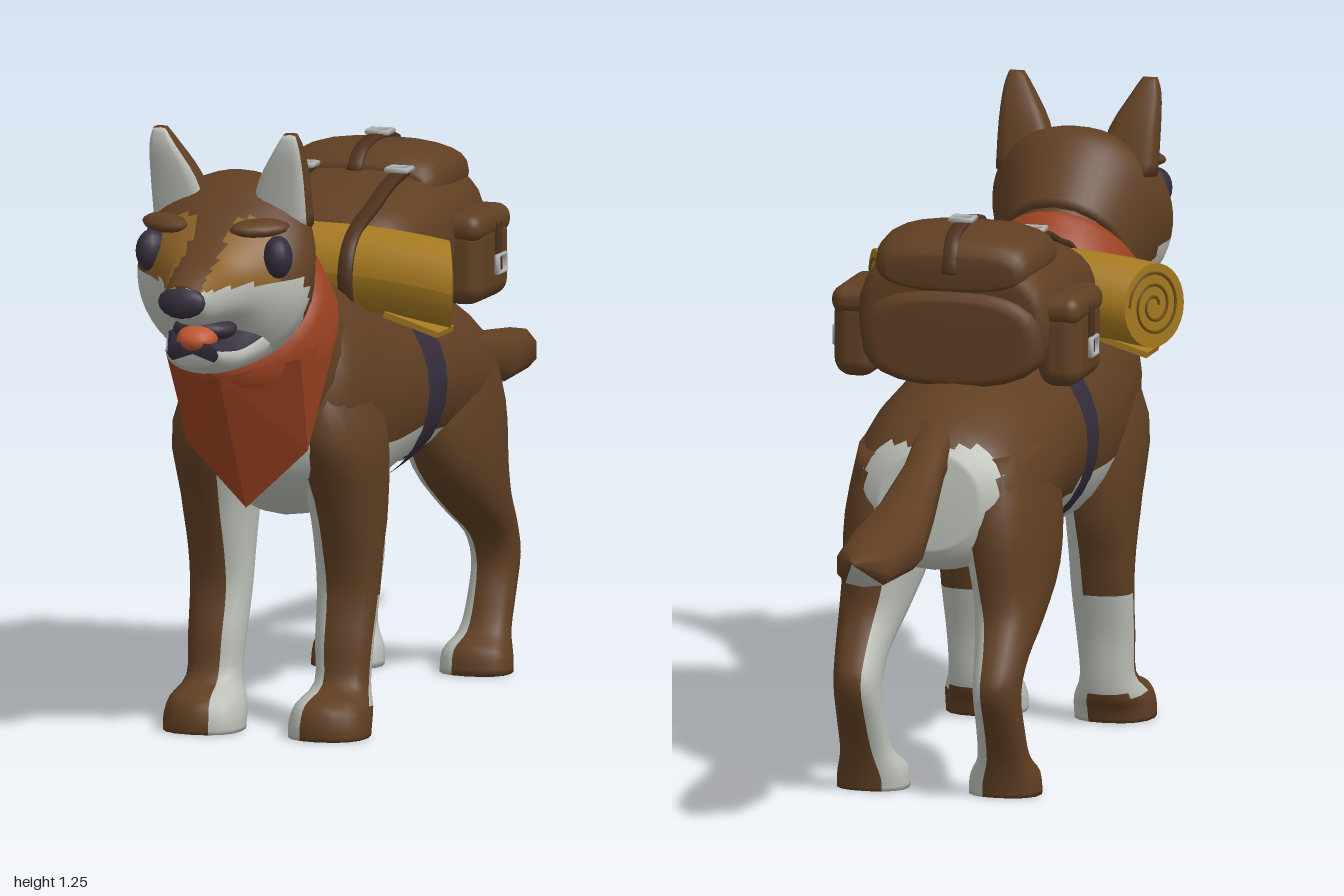
import * as THREE from 'three';
import { RoundedBoxGeometry } from 'three/addons/geometries/RoundedBoxGeometry.js';

const mat = (name, color) => Object.assign(new THREE.MeshStandardMaterial({ color }), { name });

export function createModel() {
  const brown = mat('brown fur', 0x603f23), white = mat('white fur', 0xbcbfb7), tan = mat('tan fur', 0x8c6127);
  const yellow = mat('bedroll yellow', 0xa57920), shade = mat('bedroll seam', 0x6c4d17);
  const red = mat('bandana red', 0x9b4221), purple = mat('dark purple', 0x352d3c);
  const pink = mat('tongue', 0xbd5630), strapBrown = mat('strap brown', 0x4c311c), metal = mat('buckle metal', 0xb4b6b6);
  red.side = THREE.DoubleSide;
  const model = new THREE.Group(), dog = new THREE.Group(), gear = new THREE.Group();
  dog.name = 'dog';
  gear.name = 'gear';
  dog.position.x = -0.01;
  model.add(dog, gear);
  let target = dog;

  const add = (name, geo, m, pos = [0, 0, 0], rot = [0, 0, 0], scale = [1, 1, 1]) => {
    const mesh = new THREE.Mesh(geo, m);
    mesh.name = name;
    mesh.position.set(...pos);
    mesh.rotation.set(...rot);
    mesh.scale.set(...scale);
    target.add(mesh);
    return mesh;
  };

  const spline = (a, b, c, d, t) => 0.5 * (2 * b + (c - a) * t + (2 * a - 5 * b + 4 * c - d) * t * t + (3 * b - a - 3 * c + d) * t * t * t);

  // Skin over oval rings [zA, yA, zB, yB, xCentre, halfWidth]; paint picks a material per face
  // from its |x|, y, z and the cosine (toward A) and sine (toward outside) of its angle
  function loft(name, keys, mats, { n = 20, sub = 3, p = 1, side = 1, caps = true, paint = () => 0 } = {}) {
    const rings = [];
    for (let i = 0; i < keys.length - 1; i++)
      for (let s = 0; s < sub; s++) {
        const k = [i - 1, i, i + 1, i + 2].map(q => keys[Math.min(Math.max(q, 0), keys.length - 1)]);
        rings.push(keys[i].map((_, q) => spline(k[0][q], k[1][q], k[2][q], k[3][q], s / sub)));
      }
    rings.push(keys[keys.length - 1]);
    const pow = v => Math.sign(v) * Math.abs(v) ** p;
    const pos = [], buckets = mats.map(() => []);
    for (const [zA, yA, zB, yB, xc, hw] of rings)
      for (let j = 0; j < n; j++) {
        const a = j / n * Math.PI * 2, c = pow(Math.cos(a)) / 2;
        pos.push(side * (xc + pow(Math.sin(a)) * hw), (yA + yB) / 2 + c * (yA - yB), (zA + zB) / 2 + c * (zA - zB));
      }
    const face = (a, ...ids) => {
      const m = [0, 1, 2].map(q => ids.reduce((s, id) => s + pos[id * 3 + q], 0) / ids.length);
      const out = buckets[paint(Math.abs(m[0]), m[1], m[2], Math.cos(a), Math.sin(a))];
      for (let t = 1; t < ids.length - 1; t++)
        out.push(ids[0], ...(side > 0 ? [ids[t], ids[t + 1]] : [ids[t + 1], ids[t]]));
    };
    const angle = j => (j + 0.5) / n * Math.PI * 2;
    for (let i = 0; i < rings.length - 1; i++)
      for (let j = 0; j < n; j++) {
        const k = (j + 1) % n;
        face(angle(j), i * n + j, (i + 1) * n + j, (i + 1) * n + k, i * n + k);
      }
    if (caps) for (const i of [0, rings.length - 1]) {
      const [zA, yA, zB, yB, xc] = rings[i], mid = pos.length / 3;
      pos.push(side * xc, (yA + yB) / 2, (zA + zB) / 2);
      for (let j = 0; j < n; j++) {
        const k = (j + 1) % n;
        face(angle(j), mid, i * n + (i ? k : j), i * n + (i ? j : k));
      }
    }
    const geo = new THREE.BufferGeometry();
    geo.setAttribute('position', new THREE.Float32BufferAttribute(pos, 3));
    geo.setIndex(buckets.flat());
    let start = 0;
    buckets.forEach((b, i) => { geo.addGroup(start, b.length, i); start += b.length; });
    geo.computeVertexNormals();
    return add(name, geo, mats);
  }

  // Flat strap following [z, y] points from back to front
  const strap = (name, pts, x, w, m) => loft(name, pts.map(([z, y], i) => {
    const a = pts[Math.max(i - 1, 0)], b = pts[Math.min(i + 1, pts.length - 1)];
    const l = Math.hypot(b[0] - a[0], b[1] - a[1]), nz = -(b[1] - a[1]) / l * 0.007, ny = (b[0] - a[0]) / l * 0.007;
    return [z + nz, y + ny, z - nz, y - ny, x, w / 2];
  }), [m], { n: 8, p: 0.25 });

  const buckle = (pos, rot) => {
    const g = new THREE.TorusGeometry(0.027, 0.006, 6, 4).rotateZ(Math.PI / 4);
    add('buckle', g, metal, pos, rot, [1.1, 0.9, 1]);
  };

  // Torso, neck and tail
  const fur = [brown, white];
  loft('torso', [
    [-0.42, 0.69, -0.43, 0.5, 0, 0.1], [-0.36, 0.745, -0.38, 0.45, 0, 0.17], [-0.22, 0.8, -0.2, 0.44, 0, 0.2],
    [0, 0.83, -0.03, 0.455, 0, 0.2], [0.15, 0.85, 0.15, 0.43, 0, 0.195], [0.3, 0.89, 0.28, 0.415, 0, 0.2],
    [0.4, 0.92, 0.42, 0.43, 0, 0.195], [0.47, 0.9, 0.54, 0.5, 0, 0.18], [0.52, 0.85, 0.59, 0.58, 0, 0.12],
  ], fur, { n: 32, sub: 5, paint: (x, y, z) =>
    (y < 0.55 && z > -0.08 && z < 0.3) || (z > 0.25 && y < 0.63 && x < 0.14) || (z < -0.385 && x < 0.14 && y < 0.7) || y < 0.47 ? 1 : 0 });
  loft('neck', [
    [0.31, 0.88, 0.57, 0.56, 0, 0.18], [0.42, 0.938, 0.62, 0.64, 0, 0.156], [0.48, 0.99, 0.68, 0.72, 0, 0.142],
    [0.545, 1.075, 0.73, 0.79, 0, 0.136],
  ], fur, { paint: (x, y) => y < 0.62 && x < 0.13 ? 1 : 0 });
  loft('tail', [
    [-0.99, 0.58, -0.988, 0.57, 0, 0.004], [-0.9, 0.597, -0.9, 0.512, 0, 0.058], [-0.74, 0.614, -0.73, 0.51, 0, 0.076],
    [-0.6, 0.642, -0.57, 0.565, 0, 0.056], [-0.47, 0.695, -0.44, 0.63, 0, 0.04], [-0.36, 0.75, -0.34, 0.68, 0, 0.04],
  ], fur, { n: 10, sub: 1, p: 0.75, paint: (x, y, z, c) => c < -0.7 && z < -0.6 ? 1 : 0 });

  // Legs and ears
  for (const side of [1, -1]) {
    const label = side > 0 ? 'left' : 'right';
    loft(label + ' front leg', [
      [0.5, 0.8, 0.3, 0.8, 0.09, 0.055], [0.565, 0.62, 0.27, 0.6, 0.122, 0.086], [0.5, 0.47, 0.28, 0.44, 0.134, 0.072],
      [0.455, 0.35, 0.31, 0.36, 0.134, 0.065], [0.44, 0.27, 0.335, 0.27, 0.134, 0.062], [0.46, 0.18, 0.36, 0.18, 0.134, 0.058],
      [0.475, 0.1, 0.37, 0.1, 0.135, 0.055], [0.55, 0.07, 0.38, 0.05, 0.133, 0.073], [0.57, 0.03, 0.4, 0.03, 0.132, 0.08],
      [0.57, 0, 0.41, 0, 0.132, 0.08],
    ], fur, { n: 16, side, p: 0.85, paint: (x, y, z, c, s) => (s < -0.3 && y < 0.64) || y < 0.002 || (c < -0.15 && y > 0.06 && y < 0.28) ? 1 : 0 });
    loft(label + ' hind leg', [
      [-0.09, 0.7, -0.39, 0.68, 0.1, 0.08], [-0.05, 0.57, -0.425, 0.54, 0.12, 0.086], [-0.09, 0.445, -0.42, 0.42, 0.133, 0.076],
      [-0.23, 0.34, -0.425, 0.36, 0.14, 0.063], [-0.34, 0.275, -0.455, 0.3, 0.143, 0.052], [-0.375, 0.21, -0.49, 0.23, 0.143, 0.046],
      [-0.355, 0.13, -0.455, 0.15, 0.143, 0.047], [-0.33, 0.08, -0.42, 0.08, 0.141, 0.052], [-0.29, 0.05, -0.405, 0.03, 0.136, 0.07],
      [-0.28, 0, -0.4, 0, 0.136, 0.073],
    ], fur, { n: 16, side, p: 0.85, paint: (x, y, z, c, s) => (s < -0.3 && y < 0.64) || y < 0.002 ? 1 : 0 });
    loft(label + ' ear', [
      [0.64, 1.06, 0.715, 1.05, 0.1, 0.064], [0.665, 1.15, 0.733, 1.145, 0.114, 0.05], [0.695, 1.215, 0.744, 1.21, 0.131, 0.029],
      [0.715, 1.247, 0.74, 1.243, 0.137, 0.014],
    ], fur, { n: 16, side, p: 0.6, paint: (x, y, z, c) => c < -0.3 ? 1 : 0 });

    // Eyes and brows
    add(label + ' eye', new THREE.SphereGeometry(0.04, 16, 12), purple, [side * 0.132, 1.008, 0.786], [0, side * 0.3, 0], [0.74, 1.08, 1.02]);
    add(label + ' brow', new THREE.SphereGeometry(1, 12, 8), brown, [side * 0.1, 1.068, 0.804], [0.2, side * 0.6, side * -0.08], [0.062, 0.017, 0.034]);
  }

  // Head with upper snout
  loft('head', [
    [0.5, 1.02, 0.66, 0.77, 0, 0.13], [0.6, 1.138, 0.73, 0.775, 0, 0.164], [0.67, 1.15, 0.765, 0.79, 0, 0.183],
    [0.75, 1.105, 0.79, 0.825, 0, 0.167], [0.82, 1.05, 0.825, 0.865, 0, 0.115], [0.87, 1.02, 0.865, 0.877, 0, 0.08],
    [0.93, 1, 0.925, 0.885, 0, 0.058], [0.985, 0.972, 0.97, 0.905, 0, 0.04],
  ], [brown, white, tan], { n: 48, sub: 6, p: 0.95, paint: (x, y, z) =>
    y < 0.96 && z > 0.66 + Math.max(0, y - 0.86) ? 1 : x > 0.036 && x < 0.14 && z > 0.77 && y < 1.095 ? 2 : 0 });
  add('nose', new THREE.SphereGeometry(1, 12, 8), purple, [0, 0.94, 0.978], [-0.15, 0, 0], [0.05, 0.033, 0.022]);

  // Open mouth
  loft('lower jaw', [
    [0.76, 0.9, 0.74, 0.775, 0, 0.115], [0.84, 0.86, 0.835, 0.775, 0, 0.085], [0.89, 0.855, 0.885, 0.785, 0, 0.066],
    [0.922, 0.853, 0.91, 0.8, 0, 0.054],
  ], [white, purple], { paint: (x, y, z, c) => (c > 0.25 && z > 0.79) || z > 0.914 ? 1 : 0 });
  add('mouth interior', new THREE.SphereGeometry(1, 14, 10), purple, [0, 0.868, 0.845], [0, 0, 0], [0.066, 0.026, 0.055]);
  add('tongue', new THREE.SphereGeometry(1, 14, 10), pink, [0, 0.855, 0.888], [0.2, 0, 0], [0.042, 0.026, 0.042]);

  // Bandana: collar with a rolled rim, and a folded triangle in front
  loft('bandana collar', [
    [0.422, 0.95, 0.68, 0.68, 0, 0.168], [0.465, 1.005, 0.752, 0.745, 0, 0.158], [0.495, 1.01, 0.72, 0.782, 0, 0.138],
  ], [red], { n: 28, sub: 1, caps: false });
  const flap = [];
  for (const s of [1, -1]) {
    const top = [0, 0.752, 0.765], tip = [0, 0.47, 0.61], rim = [s * 0.143, 0.79, 0.685], low = [s * 0.126, 0.59, 0.598], back = [s * 0.17, 0.83, 0.54];
    for (const t of [[top, tip, low], [top, low, rim], [rim, low, back]])
      flap.push(...(s > 0 ? t : [t[0], t[2], t[1]]).flat());
  }
  const flapGeo = new THREE.BufferGeometry();
  flapGeo.setAttribute('position', new THREE.Float32BufferAttribute(flap, 3));
  flapGeo.computeVertexNormals();
  add('bandana flap', flapGeo, red);

  // Belly belt
  loft('belly belt', [[0.015, 0.84, 0.015, 0.44, 0, 0.206], [0.11, 0.85, 0.11, 0.428, 0, 0.203]], [purple], { n: 32, sub: 1, caps: false });

  // Backpack
  target = gear;
  loft('backpack body', [
    [-0.225, 1, -0.215, 0.81, 0, 0.165], [-0.205, 1.055, -0.2, 0.79, 0, 0.195], [-0.05, 1.065, -0.05, 0.785, 0, 0.205],
    [0.08, 1.045, 0.1, 0.785, 0, 0.2], [0.19, 1.02, 0.19, 0.79, 0, 0.185], [0.25, 0.985, 0.23, 0.82, 0, 0.14],
  ], [brown], { n: 28, p: 0.75 });
  loft('backpack rear pocket', [
    [-0.24, 0.96, -0.23, 0.81, 0, 0.15], [-0.22, 0.985, -0.22, 0.79, 0, 0.185], [-0.15, 0.985, -0.15, 0.79, 0, 0.19],
  ], [brown], { n: 24, p: 0.75 });
  loft('backpack lid', [
    [-0.235, 1.05, -0.23, 0.99, 0, 0.13], [-0.205, 1.088, -0.205, 0.97, 0, 0.16], [-0.1, 1.102, -0.1, 0.97, 0, 0.172],
    [-0.02, 1.09, -0.02, 0.97, 0, 0.162], [0.01, 1.06, 0.01, 0.99, 0, 0.14],
  ], [brown], { n: 24, p: 0.75 });
  strap('lid strap', [[-0.238, 1.02], [-0.205, 1.088], [-0.1, 1.103], [-0.02, 1.091], [0.02, 1.055]], 0, 0.03, strapBrown);
  buckle([0, 1.112, -0.13], [Math.PI / 2, 0, 0]);
  for (const s of [1, -1]) {
    add('side pocket', new RoundedBoxGeometry(0.09, 0.165, 0.19, 4, 0.036), brown, [s * 0.21, 0.873, -0.1]);
    add('side pocket flap', new RoundedBoxGeometry(0.1, 0.06, 0.2, 4, 0.028), brown, [s * 0.207, 0.945, -0.1]);
    add('side pocket strap', new RoundedBoxGeometry(0.012, 0.1, 0.025, 1, 0.004), strapBrown, [s * 0.257, 0.9, -0.11]);
    buckle([s * 0.263, 0.865, -0.11], [0, Math.PI / 2, 0]);
    strap('bedroll strap', [[-0.01, 1.062], [0.1, 1.043], [0.19, 1.012], [0.265, 0.99], [0.32, 0.955], [0.343, 0.9], [0.33, 0.84], [0.29, 0.81]], s * 0.1, 0.03, strapBrown);
    buckle([s * 0.1, 1.066, 0.03], [Math.PI / 2, 0, 0]);
  }

  // Bedroll: drooping roll with slanted ends, spiral seams and loose sheet edges
  const bend = (x, y, z) => {
    const bx = x * (0.2875 + 0.0375 * z / 0.085);
    return new THREE.Vector3(bx, 0.905 + y - 0.3 * bx * bx, 0.25 + z);
  };
  const roll = new THREE.CylinderGeometry(0.085, 0.085, 2, 28, 10).rotateZ(Math.PI / 2);
  const rp = roll.attributes.position;
  for (let i = 0; i < rp.count; i++) {
    const v = bend(rp.getX(i), rp.getY(i), rp.getZ(i));
    rp.setXYZ(i, v.x, v.y, v.z);
  }
  roll.computeVertexNormals();
  add('bedroll', roll, yellow);
  for (const s of [1, -1]) {
    const pts = [];
    for (let i = 0; i <= 40; i++) {
      const a = i / 40 * Math.PI * 5, r = 0.012 + 0.06 * i / 40;
      pts.push(bend(s, Math.sin(a) * r, Math.cos(a) * r));
    }
    add('bedroll spiral', new THREE.TubeGeometry(new THREE.CatmullRomCurve3(pts), 96, 0.0035, 5), shade);
    add('bedroll loose edge', new THREE.BoxGeometry(0.12, 0.012, 0.09), yellow, [s * 0.225, 0.803, 0.26], [0, 0, s * -0.3]);
  }
  return model;
}
